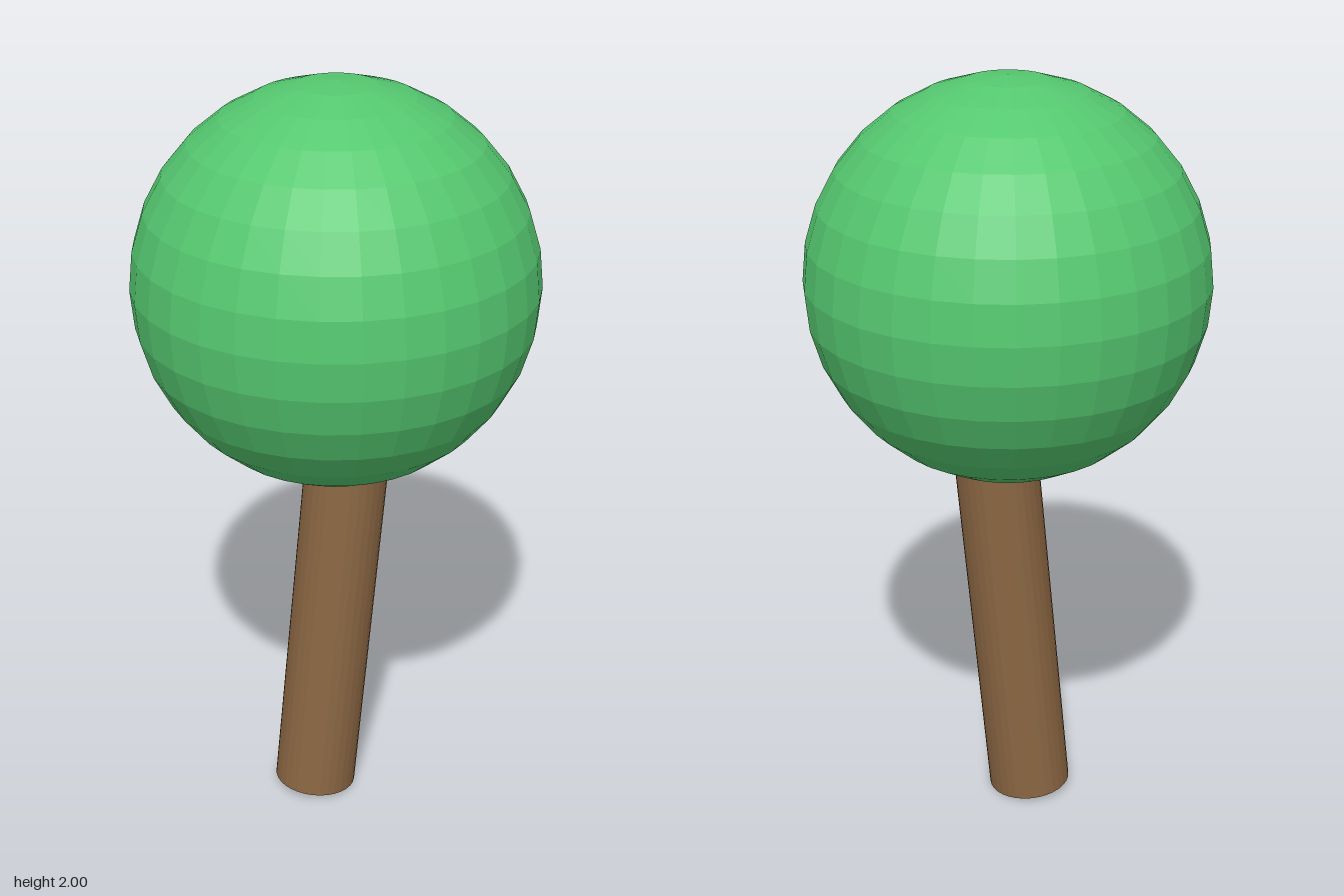
import * as THREE from 'three';

export function createModel() {
  const group = new THREE.Group();
  group.name = 'tree';

  const addPart = (name, geometry, color) => {
    const material = new THREE.MeshStandardMaterial({ color, flatShading: true });
    const mesh = new THREE.Mesh(geometry, material);
    mesh.name = name;
    group.add(mesh);
    return mesh;
  };

  // Round faceted crown
  const crown = addPart('crown', new THREE.SphereGeometry(0.515, 32, 16), 0x55c870);
  crown.position.y = 1.485;

  // Leaning trunk, its upper end buried in the crown
  const base = new THREE.Vector3(-0.055, 0.0105, -0.031);
  const tip = new THREE.Vector3(0.05, 1.3, 0.034);
  const axis = tip.clone().sub(base);
  const trunk = addPart('trunk', new THREE.CylinderGeometry(0.11, 0.11, axis.length(), 32), 0x8b6743);
  trunk.position.copy(base).add(tip).multiplyScalar(0.5);
  trunk.quaternion.setFromUnitVectors(new THREE.Vector3(0, 1, 0), axis.normalize());

  return group;
}
